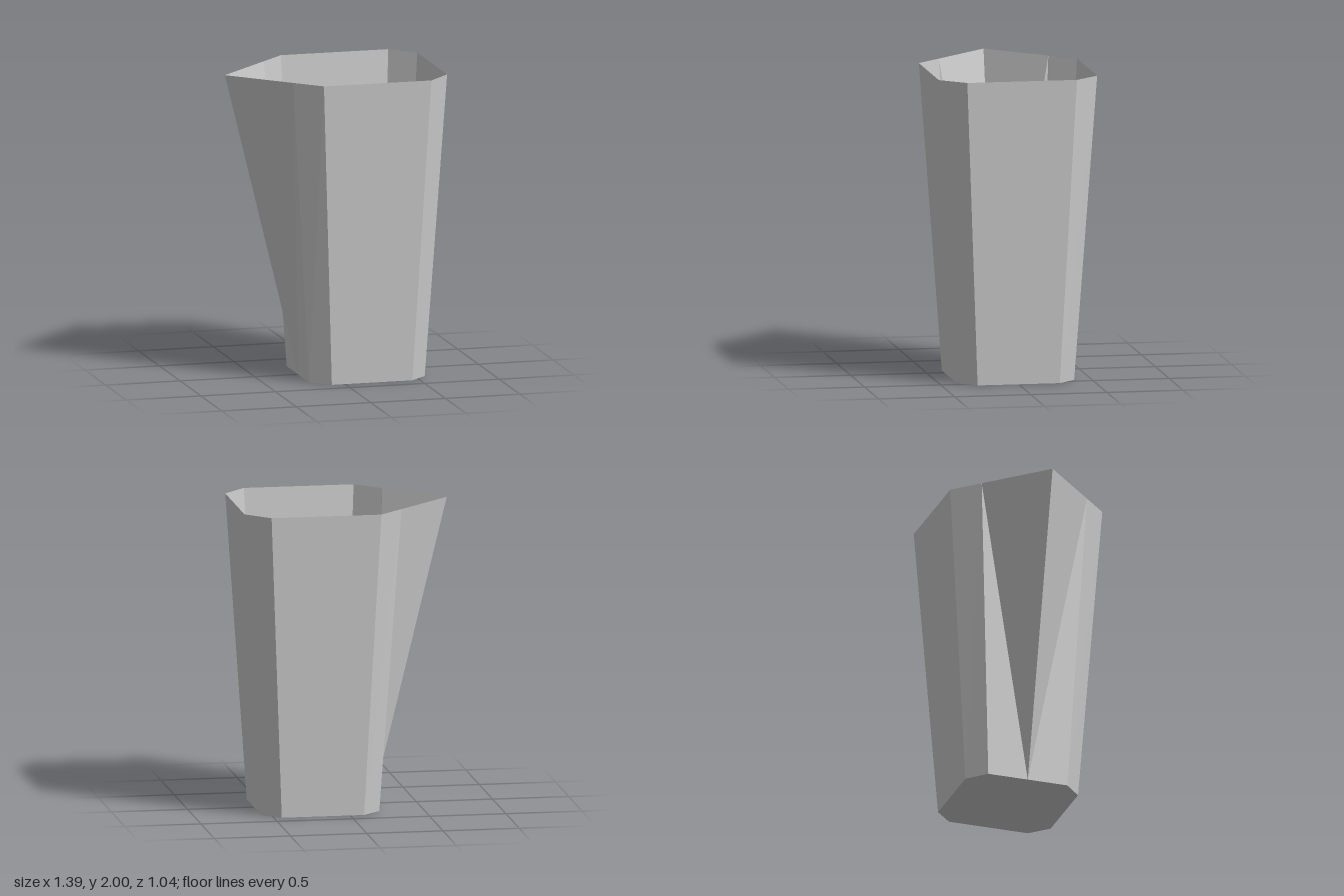
import * as THREE from 'three';

const HEIGHT = 2;
const SPOUT = 4; // ring index of the spout point

// Half outlines [x, z] from the +x side to the spout, mirrored across z
const topHalf = [[0.69, 0.36], [0.54, 0.52], [-0.18, 0.52], [-0.34, 0.36]];
const bottomHalf = [[0.565, 0.27], [0.45, 0.385], [-0.09, 0.385], [-0.21, 0.27]];

function ring(half, tipX, y) {
  const back = half.map(([x, z]) => [x, y, -z]);
  const front = half.map(([x, z]) => [x, y, z]).reverse();
  return [...back, [tipX, y, 0], ...front];
}

function facets(triangles) {
  const geometry = new THREE.BufferGeometry();
  geometry.setAttribute('position', new THREE.Float32BufferAttribute(triangles.flat(2), 3));
  geometry.computeVertexNormals();
  return geometry;
}

export function createModel() {
  const group = new THREE.Group();
  group.name = 'pitcher';
  const material = new THREE.MeshStandardMaterial({
    color: 0xcccccc, flatShading: true, side: THREE.DoubleSide,
  });
  const top = ring(topHalf, -0.7, HEIGHT);
  const bottom = ring(bottomHalf, -0.21, 0);
  const n = top.length;

  // Tapered walls; the two spout panels fold towards the foot of the spout
  const wall = [], spout = [];
  for (let i = 0; i < n; i++) {
    const j = (i + 1) % n;
    const a = bottom[i], b = bottom[j], A = top[i], B = top[j];
    if (j === SPOUT) {
      wall.push([a, b, A]);
      spout.push([b, B, A]);
    } else {
      wall.push([a, b, B]);
      (i === SPOUT ? spout : wall).push([a, B, A]);
    }
  }

  // Flat floor as a fan facing down
  const floor = [];
  for (let i = 1; i < n - 1; i++) floor.push([bottom[0], bottom[i + 1], bottom[i]]);

  for (const [name, triangles] of Object.entries({ wall, spout, floor })) {
    const mesh = new THREE.Mesh(facets(triangles), material);
    mesh.name = name;
    group.add(mesh);
  }
  return group;
}
